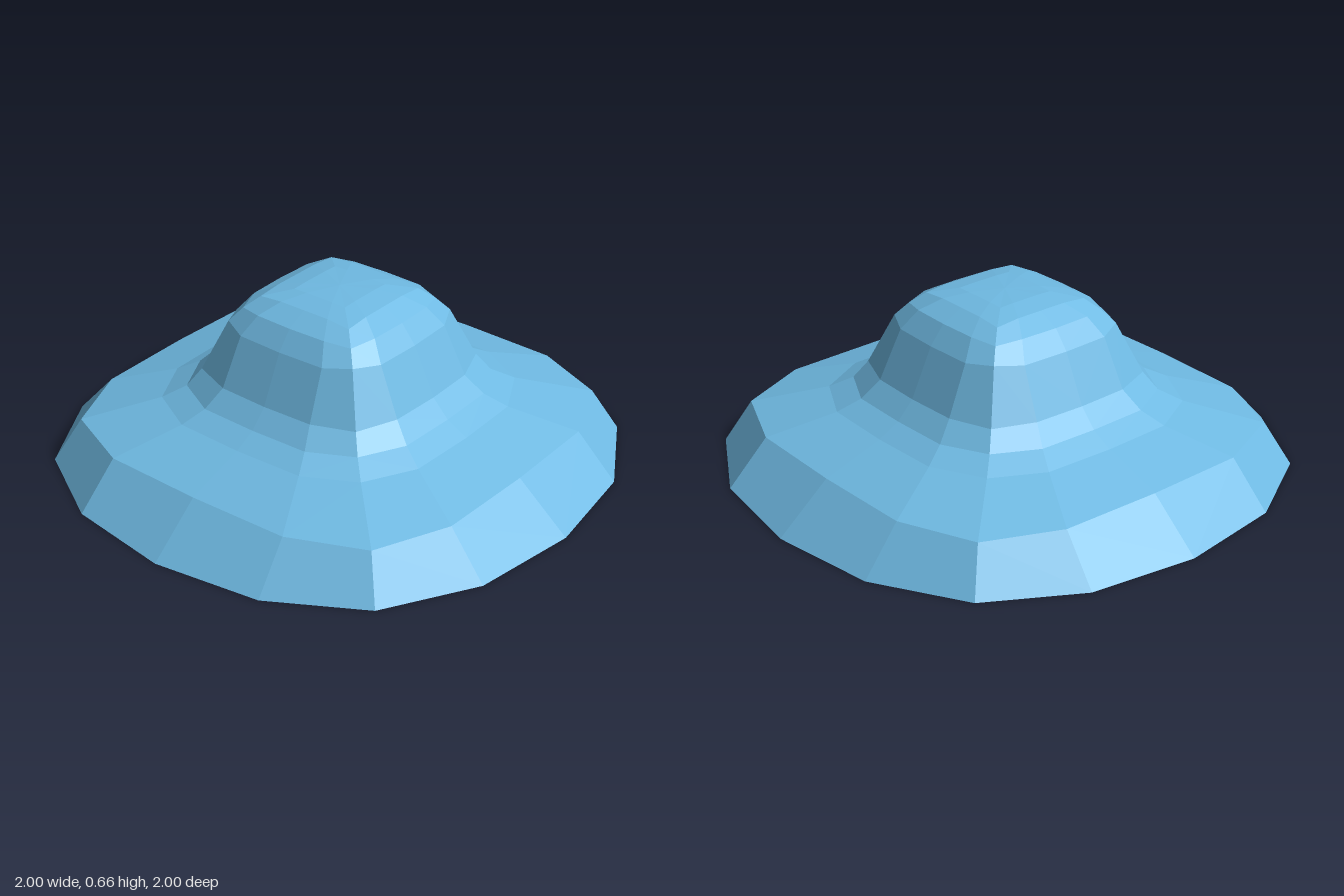
import * as THREE from 'three';

// One 16-point ring: half width h, quarter point (q, qh), corner c, height y, corner height cy
function ring([h, q, qh, c, y, cy = y]) {
  const side = [[0, h, y], [q, qh, y], [c, c, cy], [qh, q, y]];
  const points = [];
  for (let k = 0; k < 4; k++) {
    const cos = Math.round(Math.cos(k * Math.PI / 2));
    const sin = Math.round(Math.sin(k * Math.PI / 2));
    for (const [x, z, py] of side) {
      points.push(new THREE.Vector3(x * cos + z * sin, py, z * cos - x * sin));
    }
  }
  return points;
}

// Skin consecutive rings with quads, one flat normal per quad, split symmetrically
function loft(sections) {
  const rings = sections.map(ring);
  const positions = [];
  const normals = [];
  for (let r = 0; r < rings.length - 1; r++) {
    for (let i = 0; i < 16; i++) {
      const j = (i + 1) % 16;
      const a = rings[r][i], b = rings[r][j], c = rings[r + 1][j], d = rings[r + 1][i];
      const normal = c.clone().sub(a).cross(d.clone().sub(b)).normalize();
      const triangles = i % 4 < 2 ? [[a, b, c], [a, c, d]] : [[a, b, d], [b, c, d]];
      for (const t of triangles) {
        if (new THREE.Triangle(...t).getArea() < 1e-7) continue;
        for (const p of t) {
          positions.push(...p);
          normals.push(...normal);
        }
      }
    }
  }
  const geometry = new THREE.BufferGeometry();
  geometry.setAttribute('position', new THREE.Float32BufferAttribute(positions, 3));
  geometry.setAttribute('normal', new THREE.Float32BufferAttribute(normals, 3));
  return geometry;
}

export function createModel() {
  const group = new THREE.Group();
  group.name = 'hat';
  const material = new THREE.MeshStandardMaterial({ color: 0x6fbae3 });
  const add = (name, sections) => {
    const mesh = new THREE.Mesh(loft(sections), material);
    mesh.name = name;
    group.add(mesh);
  };

  const rim = [1, 0.41, 0.94, 0.745, 0];
  const crownBase = [0.487, 0.23, 0.48, 0.395, 0.283];

  // Dished underside, steeper near the rim and flattening to the middle
  add('underside', [
    [0, 0, 0, 0, 0.08],
    [0.27, 0.12, 0.26, 0.22, 0.077],
    [0.52, 0.22, 0.5, 0.4, 0.068],
    [0.8, 0.33, 0.75, 0.59, 0.047],
    [0.96, 0.39, 0.9, 0.715, 0.025],
    rim,
  ]);

  // Sloping outer band and gently rising brim
  add('brim', [
    rim,
    [0.8, 0.39, 0.79, 0.67, 0.165],
    [0.57, 0.27, 0.56, 0.46, 0.24],
    crownBase,
  ]);

  // Squarish crown with a rounded shoulder
  add('crown', [
    crownBase,
    [0.423, 0.2, 0.415, 0.355, 0.35],
    [0.337, 0.185, 0.33, 0.283, 0.53, 0.54],
    [0.28, 0.15, 0.275, 0.245, 0.6, 0.59],
    [0.2, 0.105, 0.2, 0.2, 0.64, 0.632],
    [0.115, 0.058, 0.115, 0.115, 0.656, 0.654],
    [0, 0, 0, 0, 0.66],
  ]);
  return group;
}
